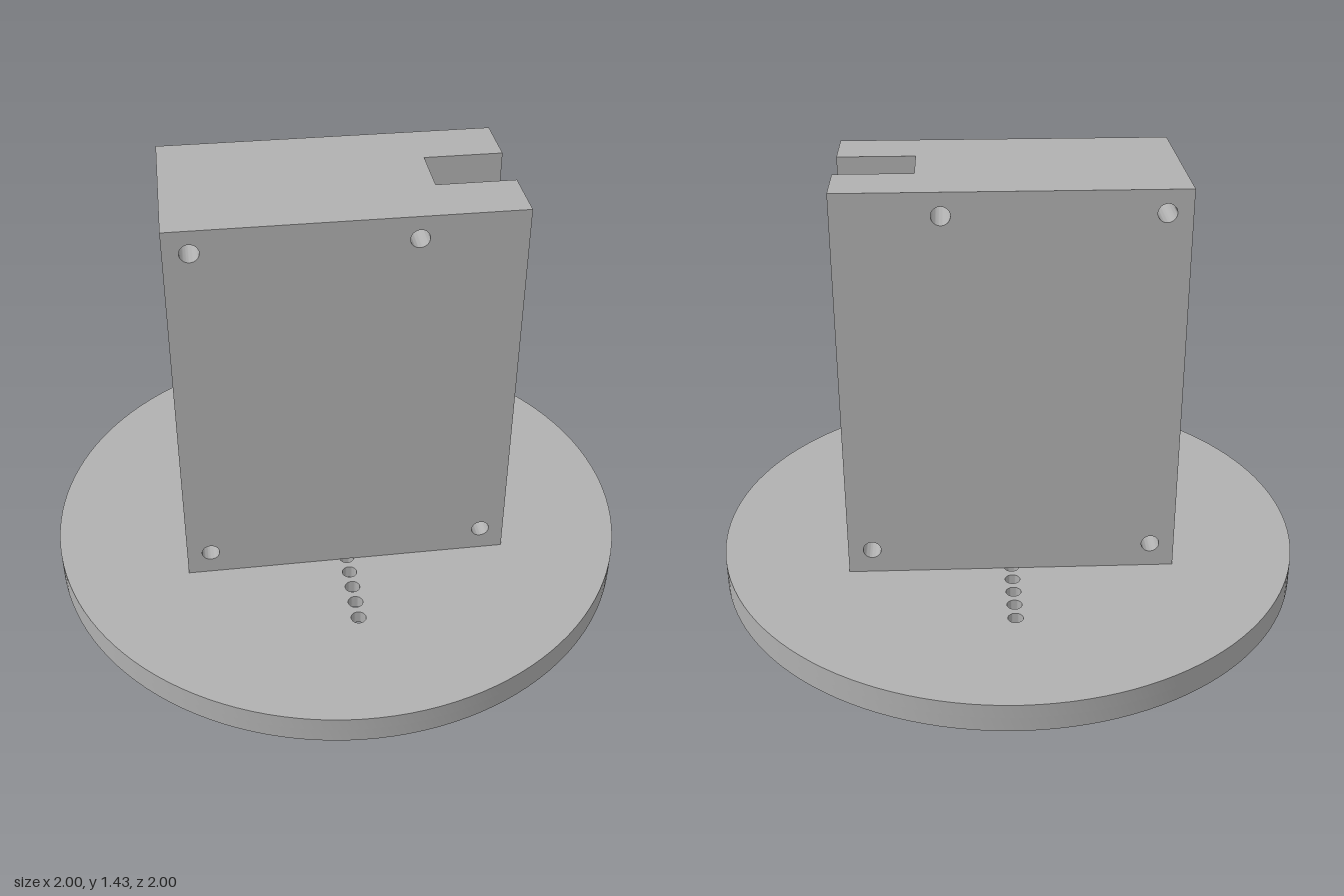
import * as THREE from 'three';
import { toCreasedNormals } from 'three/addons/utils/BufferGeometryUtils.js';

export function createModel() {
  const model = new THREE.Group();
  model.name = 'cameraTurntableHousing';
  const grey = new THREE.MeshStandardMaterial({ color: 0xb0b0b0 });
  grey.name = 'plainGrey';

  const circle = (u, v, r) => new THREE.Path().absarc(u, v, r, 0, Math.PI * 2, true);
  const rect = (u0, u1, v0, v1) => new THREE.Shape([[u0, v0], [u1, v0], [u1, v1], [u0, v1]]
    .map(([u, v]) => new THREE.Vector2(u, v)));

  // Extrude a drilled outline along an axis: x uses (-z, y), y uses (x, -z), z uses (x, y)
  function slab(parent, name, axis, from, to, shape, holes = [], segments = 24) {
    shape.holes.push(...holes);
    let geo = new THREE.ExtrudeGeometry(shape, { depth: to - from, bevelEnabled: false, curveSegments: segments });
    geo.translate(0, 0, from);
    if (axis === 'x') geo.rotateY(Math.PI / 2);
    if (axis === 'y') geo.rotateX(-Math.PI / 2);
    geo = toCreasedNormals(geo, 0.6);
    const mesh = new THREE.Mesh(geo, grey);
    mesh.name = name;
    parent.add(mesh);
  }

  // Round base in two layers: arm recess below, pin holes and hub opening above
  const base = new THREE.Group();
  base.name = 'roundBase';
  const TOP = 0.095, LEDGE = 0.048, HUB = 0.2;
  const disc = () => new THREE.Shape().absarc(0, 0, 1, 0, Math.PI * 2, false);
  const mountHoles = () => [-0.337, 0.337].map((x) => circle(x, 0, 0.043));
  const pins = [];
  for (let i = 0; i < 5; i++) for (const s of [-1, 1]) pins.push(circle(0, s * (0.285 + i * 0.0725), 0.025));

  const armSlot = new THREE.Path();
  armSlot.moveTo(0.145, 0);
  armSlot.lineTo(0.09, 0.57);
  armSlot.absarc(0, 0.57, 0.09, 0, Math.PI, false);
  armSlot.lineTo(-0.145, 0);
  armSlot.lineTo(-0.09, -0.57);
  armSlot.absarc(0, -0.57, 0.09, Math.PI, Math.PI * 2, false);
  armSlot.lineTo(0.145, 0);

  const hub = new THREE.Path([[0.145, 0], [0.126, HUB], [-0.126, HUB], [-0.145, 0], [-0.126, -HUB], [0.126, -HUB]]
    .map(([u, v]) => new THREE.Vector2(u, v)));
  slab(base, 'lowerDisc', 'y', 0, LEDGE, disc(), [armSlot, ...mountHoles()], 64);
  slab(base, 'upperDisc', 'y', LEDGE, TOP, disc(), [hub, ...pins, ...mountHoles()], 64);
  model.add(base);

  // Upright housing around a narrow inner cavity
  const box = new THREE.Group();
  box.name = 'housing';
  const W = 0.55, D = 0.29, H = 1.43, C = 0.095;   // half width, half depth, top, cavity half depth
  const END = -0.505, FLOOR = 0.25, CEIL = 1.245;
  const screw = (x, y) => circle(x, y, 0.03);
  const screws = () => [screw(-0.47, 1.355), screw(0.215, 1.355), screw(-0.47, 0.18), screw(0.47, 0.18)];

  slab(box, 'frontPanel', 'z', C, D, rect(END, W, TOP, H), screws());
  slab(box, 'backPanel', 'z', -D, -C, rect(END, W, TOP, H), screws());
  slab(box, 'boredEndWall', 'x', -W, END, rect(-D, D, TOP, H), [circle(0, 1.005, 0.15)], 48);
  slab(box, 'smallHoleEndWall', 'x', 0.49, W, rect(-C, C, FLOOR, CEIL), [circle(0, 1.005, 0.043)]);
  slab(box, 'ceiling', 'z', -C, C, rect(END, 0.295, CEIL, H), [screw(-0.47, 1.355), screw(0.215, 1.355)]);

  // Cavity floor, with the vertical drain through its middle piece
  slab(box, 'floorLong', 'z', -C, C, rect(END, 0.2, TOP, FLOOR), [screw(-0.47, 0.18)]);
  slab(box, 'floorDrilled', 'y', TOP, FLOOR, rect(0.2, 0.43, -C, C), [circle(0.337, 0, 0.043)]);
  slab(box, 'floorEnd', 'z', -C, C, rect(0.43, W, TOP, FLOOR), [screw(0.47, 0.18)]);
  model.add(box);

  return model;
}
